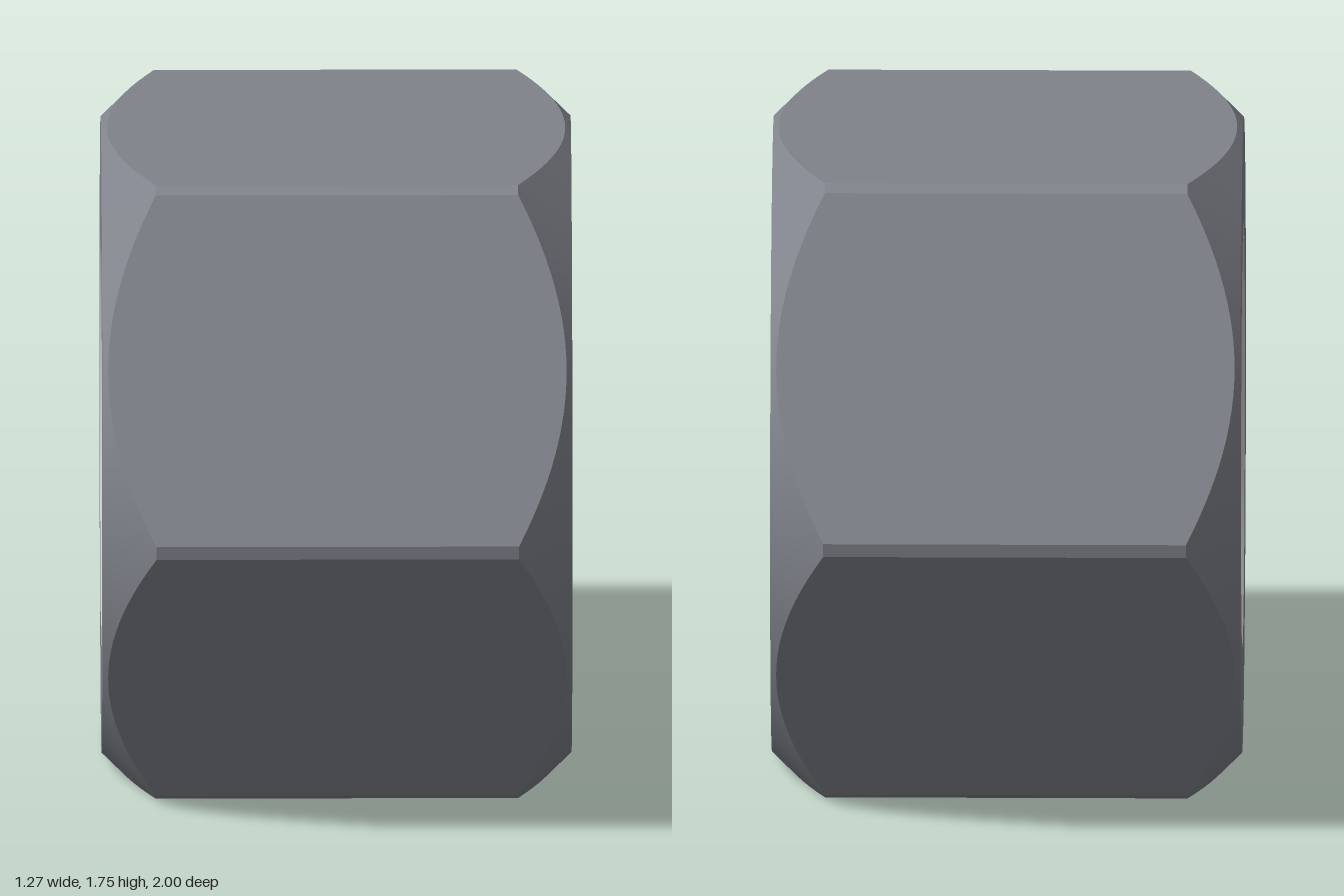
import * as THREE from 'three';
import { toCreasedNormals } from 'three/addons/utils/BufferGeometryUtils.js';

const HALF = 0.635;      // half thickness along x
const FLAT = 0.875;      // centre to flat
const CORNER = 1.0;      // centre to blunted corner
const FACE = 0.86;       // radius of the flat end face
const MOUTH = 0.575;     // radius of the bore opening
const CREST = 0.53, DEPTH = 0.06, PITCH = 0.127;

// Skin a grid of points; rows run around the x axis, columns along it
function skin(rows, inward, crease) {
  const n = rows[0].length, index = [];
  for (let i = 0; i < rows.length - 1; i++) {
    for (let j = 0; j < n - 1; j++) {
      const a = i * n + j, b = a + n;
      if (inward) index.push(a, a + 1, b, b, a + 1, b + 1);
      else index.push(a, b, a + 1, b, b + 1, a + 1);
    }
  }
  const g = new THREE.BufferGeometry();
  g.setAttribute('position', new THREE.Float32BufferAttribute(rows.flat(2), 3));
  g.setIndex(index);
  return toCreasedNormals(g, crease);
}

const polar = (x, r, t) => [x, r * Math.cos(t), r * Math.sin(t)];

// Hexagonal body with blunted corners and conical chamfers on both ends
function bodyGeometry() {
  const steps = 24, half = Math.acos(FLAT / CORNER), rows = [];
  for (let side = 0; side < 6; side++) {
    for (let i = 0; i <= steps; i++) {
      const local = half * (2 * i / steps - 1);
      const t = side * Math.PI / 3 + local;
      const r = FLAT / Math.cos(local);
      const x = HALF - (r - FACE) * 1.036;
      rows.push([
        polar(-HALF, MOUTH, t), polar(-HALF, FACE, t), polar(-x, r, t),
        polar(x, r, t), polar(HALF, FACE, t), polar(HALF, MOUTH, t),
      ]);
    }
  }
  rows.push(rows[0]);
  return skin(rows, false, 0.3);
}

// Right-handed helical thread that fades into a countersink at each mouth
function threadGeometry() {
  const around = 96, perTurn = 10, turns = Math.ceil(2 * HALF / PITCH) + 1;
  const rows = [];
  for (let i = 0; i <= around; i++) {
    const row = [], t = 2 * Math.PI * i / around;
    for (let k = -perTurn; k <= turns * perTurn; k++) {
      const x = THREE.MathUtils.clamp(-HALF + PITCH * (k / perTurn + i / around), -HALF, HALF);
      const phase = ((k % perTurn) + perTurn) % perTurn / perTurn;
      const groove = THREE.MathUtils.clamp(1.25 - Math.abs(phase - 0.5) * 3.4, 0, 1);
      const fade = THREE.MathUtils.clamp((HALF - 0.03 - Math.abs(x)) / 0.06, 0, 1);
      const sink = MOUTH - (HALF - Math.abs(x));
      row.push(polar(x, Math.max(CREST + DEPTH * groove * fade, sink), t));
    }
    rows.push(row);
  }
  return skin(rows, true, 0.5);
}

export function createModel() {
  const group = new THREE.Group();
  group.name = 'hexNut';
  const add = (name, geometry, color) => {
    const mesh = new THREE.Mesh(geometry, new THREE.MeshStandardMaterial({ color }));
    mesh.name = name;
    mesh.position.y = FLAT;
    group.add(mesh);
  };
  add('hexBody', bodyGeometry(), 0x80838b);
  add('threadedBore', threadGeometry(), 0xcccccc);
  return group;
}
